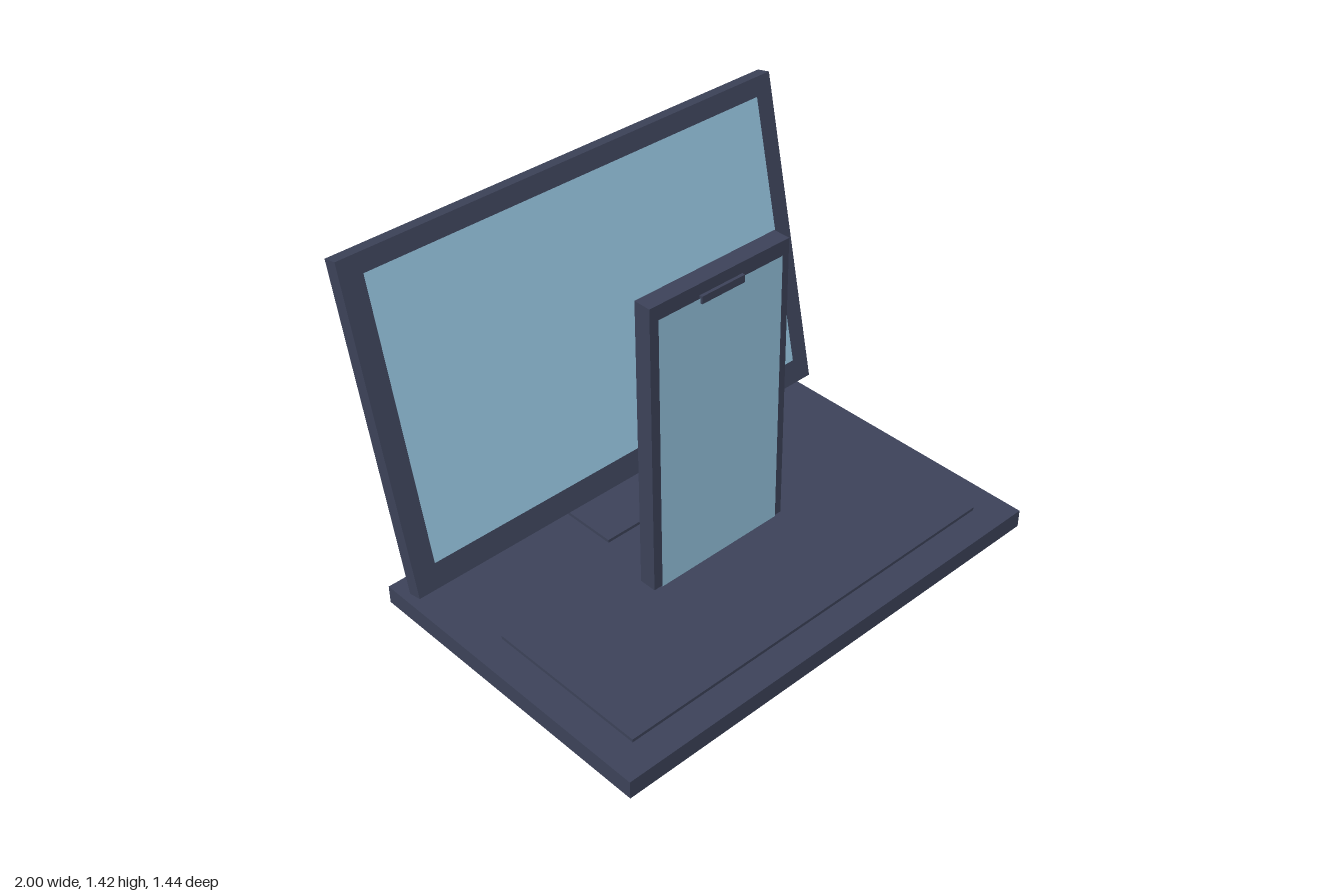
import * as THREE from 'three';

export function createModel() {
  const model = new THREE.Group();
  model.name = 'laptopAndPhone';

  const material = (name, color) => {
    const m = new THREE.MeshStandardMaterial({ color });
    m.name = name;
    return m;
  };
  const body = material('slate body', 0x3d435a);
  const glass = material('pale blue screen', 0x95c4df);
  const light = material('light grey plate', 0xe6e6e6);

  const add = (parent, name, geometry, mat, x, y, z) => {
    const mesh = new THREE.Mesh(geometry, mat);
    mesh.name = name;
    mesh.position.set(x, y, z);
    parent.add(mesh);
    return mesh;
  };
  // Box given by its width (centred on x) and its y and z extents
  const slab = (parent, name, mat, width, y0, y1, z0, z1) =>
    add(parent, name, new THREE.BoxGeometry(width, y1 - y0, z1 - z0), mat,
      0, (y0 + y1) / 2, (z0 + z1) / 2);

  // Laptop base with raised keyboard and a small raised pad
  slab(model, 'base', body, 2, 0, 0.075, -0.588, 0.722);
  slab(model, 'keyboard', body, 1.75, 0.07, 0.088, -0.09, 0.597);
  slab(model, 'touchpad', body, 0.52, 0.07, 0.088, -0.496, -0.22);

  // Lid leaning back, with its screen and a plain plate on the rear
  const lid = new THREE.Group();
  lid.name = 'lid';
  lid.position.set(0, 0.777, -0.5565);
  lid.rotation.x = -Math.PI / 15;
  model.add(lid);
  slab(lid, 'lidPanel', body, 2, -0.655, 0.655, -0.03, 0.03);
  add(lid, 'lidScreen', new THREE.PlaneGeometry(1.825, 1.13), glass, 0, 0.018, 0.04);
  slab(lid, 'rearPlate', light, 0.25, -0.125, 0.125, -0.04, -0.031);

  // Upright phone standing on the keyboard
  const phone = new THREE.Group();
  phone.name = 'phone';
  model.add(phone);
  slab(phone, 'phoneBody', body, 0.65, 0.02, 1.3, 0.033, 0.105);
  add(phone, 'phoneScreen', new THREE.PlaneGeometry(0.58, 1.165), glass, 0, 0.6625, 0.11);
  slab(phone, 'phoneNotch', body, 0.2, 1.225, 1.255, 0.1, 0.118);

  return model;
}
